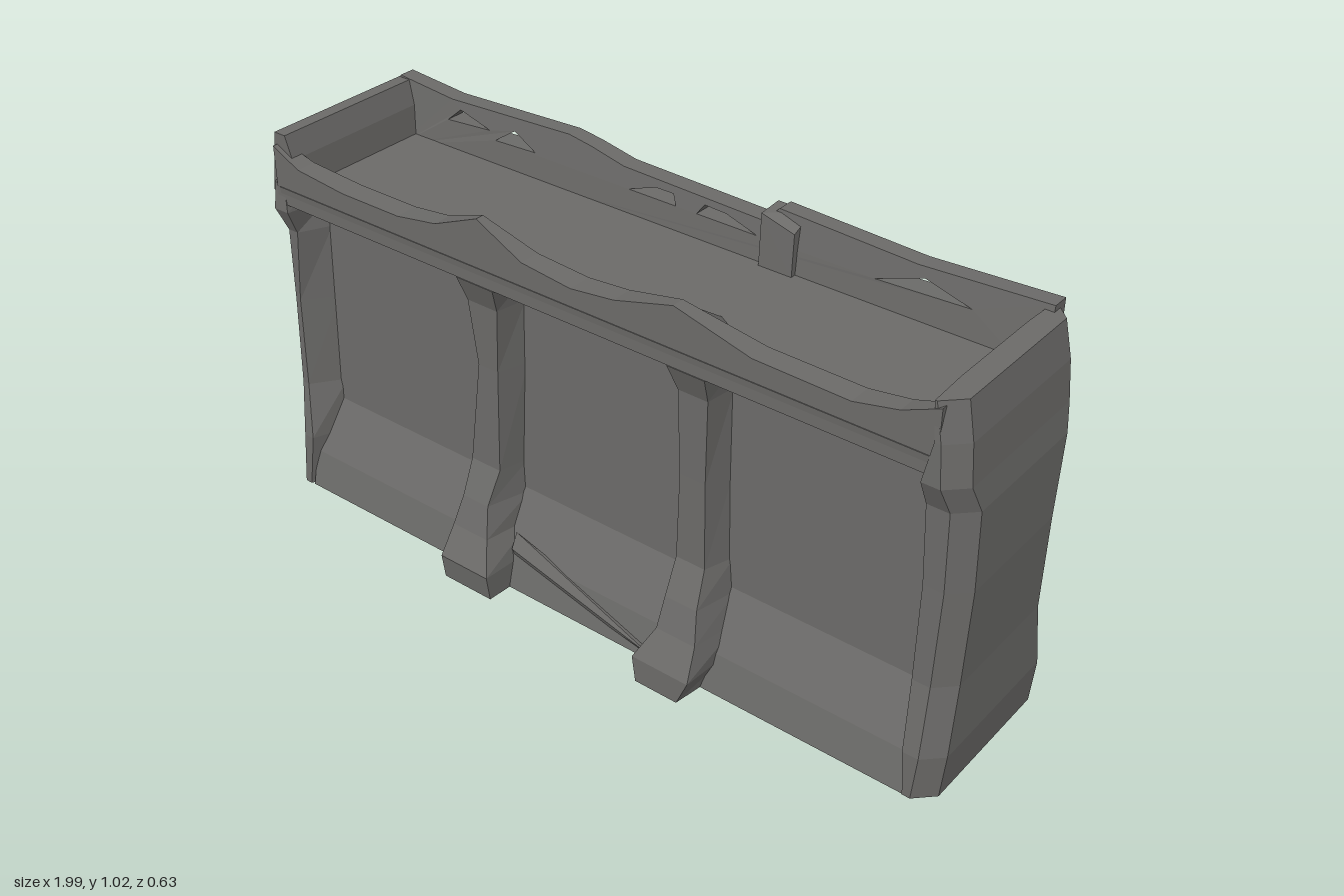
import * as THREE from 'three';
import { ConvexGeometry } from 'three/addons/geometries/ConvexGeometry.js';

const stone = new THREE.MeshStandardMaterial({ color: 0x6b6a68 });
stone.name = 'weathered stone';
stone.flatShading = true;

function add(group, name, geometry) {
  const mesh = new THREE.Mesh(geometry, stone);
  mesh.name = name;
  group.add(mesh);
  return mesh;
}

// Stacks rings of [x, z] points at given heights, counterclockwise from above
function loft(levels) {
  const n = levels[0].ring.length, pos = [], idx = [];
  levels.forEach(({ y, ring }) => ring.forEach(([x, z]) => pos.push(x, y, z)));
  for (let l = 0; l < levels.length - 1; l++) {
    for (let i = 0; i < n; i++) {
      const a = l * n + i, b = l * n + (i + 1) % n;
      idx.push(a, b, b + n, a, b + n, a + n);
    }
  }
  const top = (levels.length - 1) * n;
  for (let i = 1; i < n - 1; i++) idx.push(0, i + 1, i, top, top + i, top + i + 1);
  const g = new THREE.BufferGeometry();
  g.setAttribute('position', new THREE.Float32BufferAttribute(pos, 3));
  g.setIndex(idx);
  const flat = g.toNonIndexed();
  flat.computeVertexNormals();
  return flat;
}

// End pier: rows of [y, outer x, front inner x, deep inner x, front z, back z]
function endPier(side, rows) {
  return loft(rows.map(([y, xo, xf, xi, zf, zb]) => {
    const c = 0.045;
    const ring = [[xo, zf - c], [xo, zb + c], [xo - c, zb], [xf, zb],
      [xi, -0.13], [xi, 0.13], [xf, zf], [xo - c, zf]].map(([x, z]) => [x * side, z]);
    return { y, ring: side < 0 ? ring.reverse() : ring };
  }));
}

// Buttress: rows of [y, centre x, face half width, root half width, front z, back z]
function buttress(rows) {
  return loft(rows.map(([y, x, f, w, zf, zb]) => ({
    y,
    ring: [[x + f, zf], [x + w, 0.13], [x + w, -0.13], [x + f, zb],
      [x - f, zb], [x - w, -0.13], [x - w, 0.13], [x - f, zf]],
  })));
}

// Broken parapet with a ragged top line; the inner face leans outward as it rises
function parapet(tops, holes, side, outer, inner, lean) {
  const s = new THREE.Shape();
  s.moveTo(tops[0][0], 0.84);
  s.lineTo(tops[tops.length - 1][0], 0.84);
  [...tops].reverse().forEach(([x, y]) => s.lineTo(x, y));
  s.closePath();
  holes.forEach((h) => s.holes.push(new THREE.Path(h.map(([x, y]) => new THREE.Vector2(x, y)))));
  const g = new THREE.ExtrudeGeometry(s, { depth: outer - inner, bevelEnabled: false });
  g.translate(0, 0, side > 0 ? inner : -outer);
  const p = g.attributes.position;
  for (let i = 0; i < p.count; i++) {
    if (Math.abs(p.getZ(i)) < inner + 0.001) {
      p.setZ(i, side * (inner + lean * Math.max(0, p.getY(i) - 0.88)));
    }
  }
  g.computeVertexNormals();
  return g;
}

function rubble(points) {
  return new ConvexGeometry(points.map((p) => new THREE.Vector3(...p)));
}

export function createModel() {
  const model = new THREE.Group();
  model.name = 'ruinedWall';

  // Wall core: sloped sills, recessed panels and overhanging lintels on both faces
  const half = [[0.238, 0], [0.215, 0.1], [0.145, 0.245], [0.135, 0.77], [0.236, 0.85], [0.24, 0.885]];
  const profile = [...half, ...half.map(([z, y]) => [-z, y]).reverse()];
  const core = new THREE.ExtrudeGeometry(
    new THREE.Shape(profile.map(([z, y]) => new THREE.Vector2(z, y))), { depth: 1.84, bevelEnabled: false });
  core.translate(0, 0, -0.92);
  core.rotateY(Math.PI / 2);
  add(model, 'wallCore', core);

  // End piers, one broken off at the shoulder
  add(model, 'leftEndPier', endPier(1, [
    [0, 0.985, 0.92, 0.87, 0.24, -0.245],
    [0.12, 0.995, 0.91, 0.87, 0.24, -0.242],
    [0.3, 0.99, 0.9, 0.87, 0.212, -0.212],
    [0.55, 0.995, 0.9, 0.87, 0.208, -0.205],
    [0.75, 0.99, 0.89, 0.87, 0.21, -0.23],
    [0.82, 0.98, 0.89, 0.87, 0.242, -0.24],
    [0.92, 0.97, 0.91, 0.89, 0.24, -0.238],
    [1.01, 0.95, 0.9, 0.895, 0.235, -0.235],
  ]));
  add(model, 'rightEndPier', endPier(-1, [
    [0, 0.995, 0.93, 0.87, 0.24, -0.245],
    [0.15, 0.985, 0.91, 0.87, 0.235, -0.24],
    [0.3, 0.995, 0.93, 0.87, 0.212, -0.215],
    [0.55, 0.99, 0.93, 0.87, 0.208, -0.205],
    [0.75, 0.985, 0.91, 0.87, 0.21, -0.23],
    [0.82, 0.99, 0.9, 0.88, 0.242, -0.24],
    [0.89, 0.985, 0.91, 0.885, 0.235, -0.238],
  ]));
  add(model, 'rightEndParapet', loft([
    [0.86, 0.96, 0.87], [0.96, 0.945, 0.88], [1.02, 0.935, 0.9],
  ].map(([y, o, i]) => ({
    y, ring: [[-i, 0.225], [-i, -0.235], [-o, -0.235], [-o, 0.225]],
  }))));

  // Buttresses with flared feet on both faces
  add(model, 'rightButtress', buttress([
    [0, -0.3, 0.075, 0.085, 0.305, -0.31],
    [0.07, -0.3, 0.075, 0.085, 0.315, -0.315],
    [0.15, -0.31, 0.055, 0.08, 0.275, -0.275],
    [0.23, -0.31, 0.04, 0.075, 0.25, -0.24],
    [0.32, -0.305, 0.045, 0.065, 0.212, -0.215],
    [0.6, -0.285, 0.03, 0.055, 0.208, -0.205],
    [0.77, -0.29, 0.045, 0.06, 0.212, -0.235],
    [0.84, -0.285, 0.055, 0.065, 0.24, -0.243],
  ]));
  add(model, 'leftButtress', buttress([
    [0, 0.3, 0.06, 0.085, 0.315, -0.31],
    [0.07, 0.31, 0.08, 0.09, 0.315, -0.315],
    [0.15, 0.325, 0.055, 0.08, 0.275, -0.28],
    [0.23, 0.32, 0.045, 0.07, 0.25, -0.245],
    [0.32, 0.315, 0.04, 0.065, 0.21, -0.215],
    [0.55, 0.315, 0.035, 0.055, 0.208, -0.205],
    [0.77, 0.315, 0.04, 0.05, 0.212, -0.235],
    [0.84, 0.315, 0.05, 0.06, 0.24, -0.243],
  ]));

  // Ragged front parapet and pierced back parapet
  add(model, 'frontParapet', parapet([
    [-0.93, 0.99], [-0.85, 0.95], [-0.7, 0.935], [-0.52, 0.935], [-0.4, 0.955], [-0.27, 1.01],
    [-0.14, 0.945], [0, 0.93], [0.12, 0.945], [0.28, 0.99], [0.48, 0.94], [0.72, 0.935],
    [0.83, 0.96], [0.92, 1.0],
  ], [], 1, 0.238, 0.15, 0.5));
  add(model, 'backParapet', parapet([
    [-0.93, 1.025], [-0.75, 1.01], [-0.37, 1.025], [-0.3, 1.015], [-0.2, 0.995], [0, 0.99],
    [0.2, 0.985], [0.24, 1.025], [0.6, 1.01], [0.92, 1.025],
  ], [
    [[-0.76, 0.955], [-0.62, 0.965], [-0.72, 0.99]],
    [[-0.6, 0.945], [-0.47, 0.95], [-0.54, 0.985]],
    [[-0.18, 0.945], [-0.04, 0.945], [-0.05, 0.972], [-0.1, 0.972]],
    [[0.02, 0.945], [0.19, 0.945], [0.1, 0.97], [0.04, 0.972]],
    [[0.5, 0.945], [0.74, 0.955], [0.62, 0.985]],
  ], -1, 0.24, 0.175, 0.15));

  // Fallen chunks on the sills and the walkway
  add(model, 'frontSillSlab', rubble([
    [-0.22, 0.15, 0.205], [-0.22, 0.11, 0.225], [0.24, 0.02, 0.245], [0.24, 0.01, 0.2], [-0.22, 0.05, 0.2],
  ]));
  add(model, 'backSillRubble', rubble([
    [0.24, 0, -0.24], [0.24, 0.16, -0.19], [-0.22, 0, -0.24], [-0.22, 0.2, -0.17],
    [-0.06, 0.12, -0.25], [-0.05, 0, -0.255], [0.2, 0, -0.15],
  ]));
  add(model, 'walkwayChunk', rubble([
    [0.17, 0.88, 0.17], [0.45, 0.88, 0.16], [0.28, 0.88, 0.06], [0.28, 0.985, 0.21], [0.28, 0.88, 0.21],
  ]));
  add(model, 'backRailBlock', rubble([
    [0.21, 0.88, -0.235], [0.21, 1.02, -0.235], [0.21, 1.015, -0.17], [0.21, 0.88, -0.165],
    [0.3, 0.88, -0.235], [0.3, 1.02, -0.235], [0.3, 0.99, -0.17], [0.3, 0.88, -0.165],
  ]));
  return model;
}
